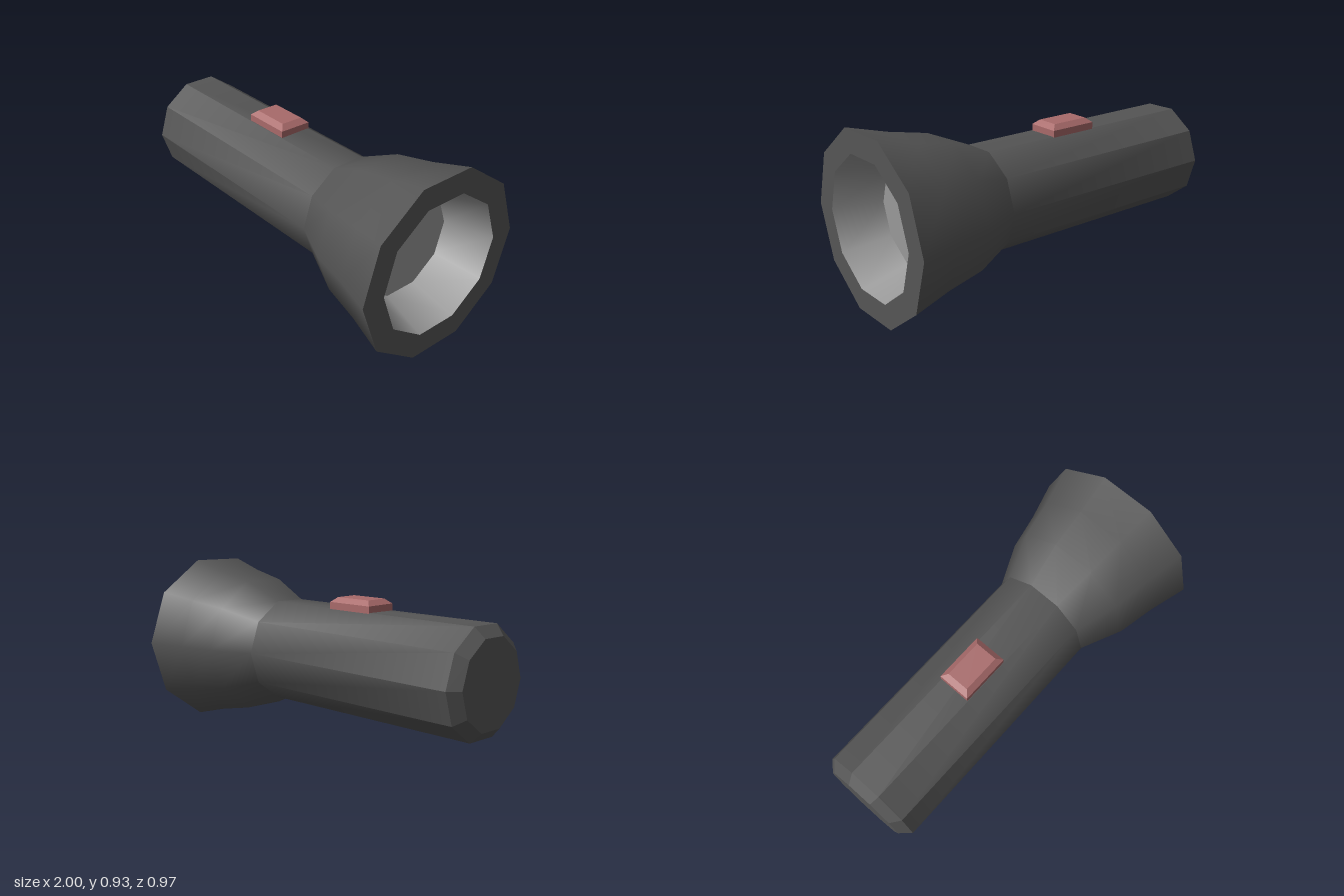
import * as THREE from 'three';

const SIDES = 10;
const AXIS_Y = 0.463;
const ROLL = THREE.MathUtils.degToRad(0.95);

const dark = new THREE.MeshStandardMaterial({ color: 0x555555 });
const light = new THREE.MeshStandardMaterial({ color: 0x999999 });
const red = new THREE.MeshStandardMaterial({ color: 0xa86a6a });

// Ten-sided surface of revolution along x, from [x, radius] pairs
function turned(profile, flat = false) {
  const points = profile.map(([x, r]) => new THREE.Vector2(r, x));
  let geo = new THREE.LatheGeometry(points, SIDES);
  geo.rotateZ(-Math.PI / 2);
  geo.rotateX(ROLL);
  if (flat) {
    geo = geo.toNonIndexed();
    geo.computeVertexNormals();
  }
  return geo;
}

// Barrel: faceted at the tail, blending to smooth where it meets the head
function barrelGeometry() {
  const geo = turned([[-0.95, 0.2815], [0.36, 0.2815]], true);
  const pos = geo.attributes.position;
  const n = new THREE.Vector3();
  for (let i = 0; i < pos.count; i++) {
    if (pos.getX(i) < 0) continue;
    n.set(0, pos.getY(i), pos.getZ(i)).normalize();
    geo.attributes.normal.setXYZ(i, n.x, n.y, n.z);
  }
  return geo;
}

// Switch: a box whose top edges are bevelled inward
function switchGeometry() {
  const box = new THREE.BoxGeometry(0.27, 0.07, 0.176, 1, 2, 1);
  const pos = box.attributes.position;
  for (let i = 0; i < pos.count; i++) {
    const y = pos.getY(i);
    if (y > 0.01) {
      pos.setX(i, Math.sign(pos.getX(i)) * 0.105);
      pos.setZ(i, Math.sign(pos.getZ(i)) * 0.06);
    } else if (y > -0.01) {
      pos.setY(i, 0.01);
    }
  }
  const geo = box.toNonIndexed();
  geo.computeVertexNormals();
  return geo;
}

export function createModel() {
  const model = new THREE.Group();
  model.name = 'flashlight';

  const add = (name, geometry, material, x = 0, y = AXIS_Y) => {
    const mesh = new THREE.Mesh(geometry, material);
    mesh.name = name;
    mesh.position.set(x, y, 0);
    model.add(mesh);
  };

  // Handle
  add('tailCap', turned([[-1, 0], [-1, 0.227]], true), dark);
  add('tailBevel', turned([[-1, 0.227], [-0.95, 0.2815]], true), dark);
  add('barrel', barrelGeometry(), dark);

  // Flared head and its flat rim
  add('head', turned([[0.36, 0.2815], [0.58, 0.381], [0.79, 0.425], [1, 0.484]]), dark);
  add('rim', turned([[1, 0.484], [1, 0.36]], true), dark);

  // Recessed reflector and lens
  add('reflector', turned([[1, 0.36], [0.755, 0.285]]), light);
  add('lens', turned([[0.755, 0.285], [0.755, 0]], true), light);

  // Sliding switch on top of the barrel
  add('switch', switchGeometry(), red, -0.185, 0.755);

  return model;
}
